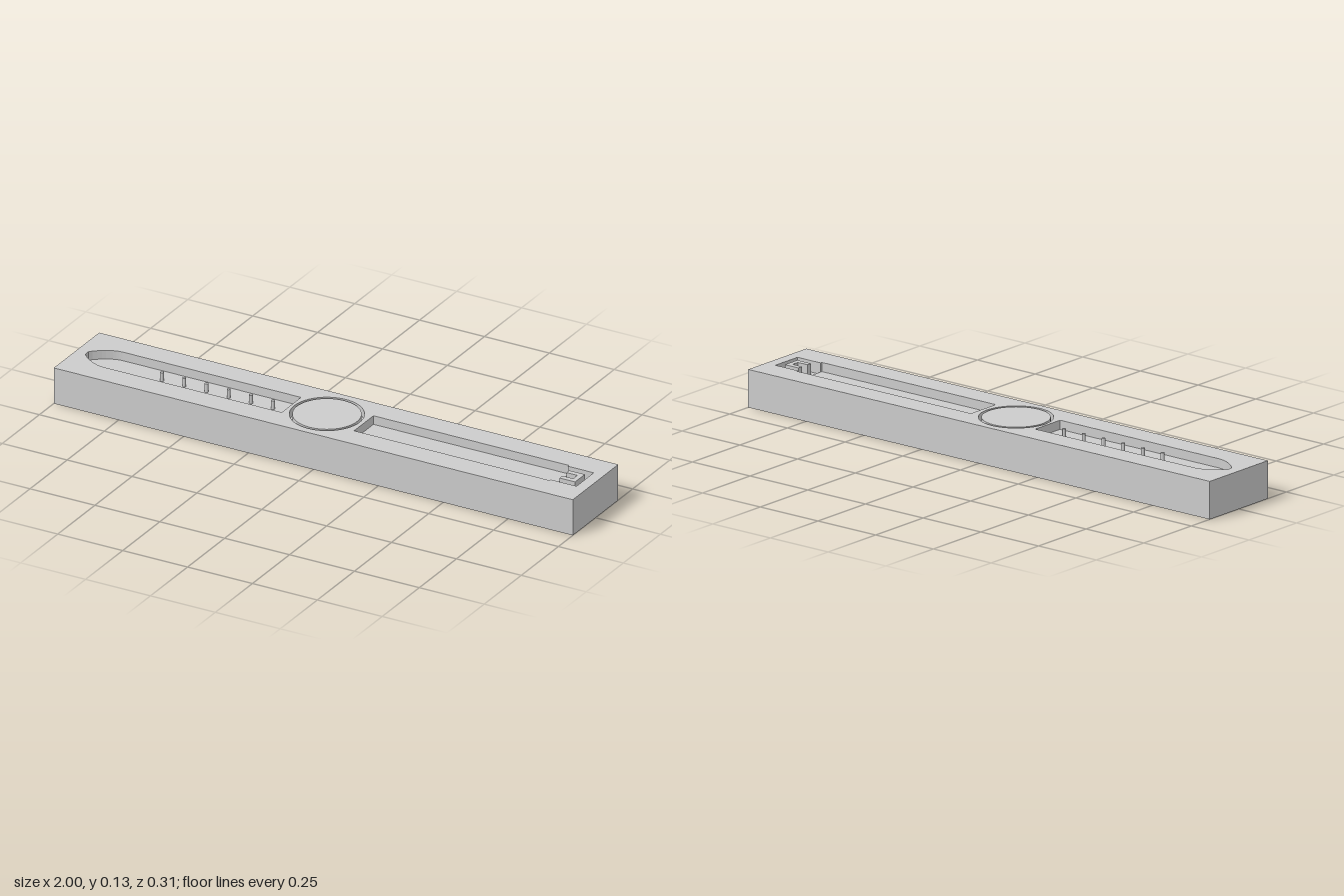
import * as THREE from 'three';
import { mergeGeometries } from 'three/addons/utils/BufferGeometryUtils.js';

const L = 1, W = 0.153, TOP = 0.133;
const FLOOR = TOP - 0.032, BUCKLE_FLOOR = TOP - 0.04;

const toPoints = (list) => list.map(([x, y]) => new THREE.Vector2(x, y));
const rect = (x0, x1, w) => toPoints([[x0, -w], [x1, -w], [x1, w], [x0, w]]);

function circle(cx, cy, r, n) {
  return Array.from({ length: n }, (_, i) => {
    const a = (i / n) * Math.PI * 2;
    return new THREE.Vector2(cx + r * Math.cos(a), cy + r * Math.sin(a));
  });
}

// Flat horizontal face at height y, with optional holes
function face(outline, holes, y) {
  const shape = new THREE.Shape(outline);
  shape.holes = holes.map((h) => new THREE.Path(h));
  return new THREE.ShapeGeometry(shape).rotateX(-Math.PI / 2).translate(0, y, 0).toNonIndexed();
}

// Vertical band along a counter-clockwise outline, facing outward (or inward)
function wall(outline, y0, y1, inward = false) {
  const pts = inward ? [...outline].reverse() : outline;
  const pos = [], uv = [];
  pts.forEach((a, i) => {
    const b = pts[(i + 1) % pts.length];
    for (const [p, y] of [[a, y0], [b, y0], [b, y1], [a, y0], [b, y1], [a, y1]]) {
      pos.push(p.x, y, -p.y);
      uv.push(0, 0);
    }
  });
  const g = new THREE.BufferGeometry();
  g.setAttribute('position', new THREE.Float32BufferAttribute(pos, 3));
  g.setAttribute('uv', new THREE.Float32BufferAttribute(uv, 2));
  g.computeVertexNormals();
  return g;
}

// Raised island standing in a recess, flush with the top
const island = (outline, y) => [wall(outline, y, TOP), face(outline, [], TOP)];

export function createModel() {
  const group = new THREE.Group();
  const material = new THREE.MeshStandardMaterial({ color: 0xcccccc });
  const add = (name, parts) => {
    const mesh = new THREE.Mesh(mergeGeometries(parts), material);
    mesh.name = name;
    group.add(mesh);
  };

  // Recess outlines
  const tipCurve = new THREE.QuadraticBezierCurve(
    new THREE.Vector2(-0.86, 0.065), new THREE.Vector2(-0.9, 0.064), new THREE.Vector2(-0.95, 0.022));
  const upper = [...tipCurve.getPoints(8), new THREE.Vector2(-0.96, 0.01)];
  const lower = upper.map((p) => new THREE.Vector2(p.x, -p.y)).reverse();
  const longStrap = [...toPoints([[-0.172, -0.065], [-0.172, 0.065]]), ...upper, ...lower];
  const shortStrap = rect(0.107, 0.86, 0.065);
  const buckle = rect(0.86, 0.96, 0.058);
  const strapAndBuckle = toPoints([
    [0.107, -0.065], [0.86, -0.065], [0.86, -0.058], [0.96, -0.058],
    [0.96, 0.058], [0.86, 0.058], [0.86, 0.065], [0.107, 0.065]]);
  const ringOuter = circle(-0.035, 0, 0.126, 64);
  const ringInner = circle(-0.035, 0, 0.116, 64);

  // Block shell: top with openings, sides, underside
  const block = rect(-L, L, W);
  add('block', [
    face(block, [longStrap, strapAndBuckle, ringOuter], TOP),
    wall(block, 0, TOP),
    new THREE.PlaneGeometry(2 * L, 2 * W).rotateX(Math.PI / 2).toNonIndexed(),
  ]);

  // Pointed strap recess with a row of hole pins
  add('longStrapRecess', [wall(longStrap, FLOOR, TOP, true), face(longStrap, [], FLOOR)]);
  const pins = [];
  for (let i = 0; i < 6; i++) pins.push(...island(circle(-0.67 + i * 0.0855, 0, 0.0065, 16), FLOOR));
  add('holePins', pins);

  // Round dial groove around a flush disc
  add('dialGroove', [wall(ringOuter, FLOOR, TOP, true), face(ringOuter, [ringInner], FLOOR)]);
  add('dialDisc', island(ringInner, FLOOR));

  // Short strap recess stepping down into the buckle
  add('shortStrapRecess', [wall(strapAndBuckle, FLOOR, TOP, true), face(shortStrap, [], FLOOR)]);
  add('buckleRecess', [wall(buckle, BUCKLE_FLOOR, FLOOR, true), face(buckle, [], BUCKLE_FLOOR)]);

  // C-shaped core that leaves the buckle tongue
  add('buckleCore', island(toPoints([
    [0.88, -0.033], [0.94, -0.033], [0.94, 0.033], [0.88, 0.033],
    [0.88, 0.014], [0.922, 0.014], [0.922, -0.014], [0.88, -0.014]]), BUCKLE_FLOOR));

  return group;
}
